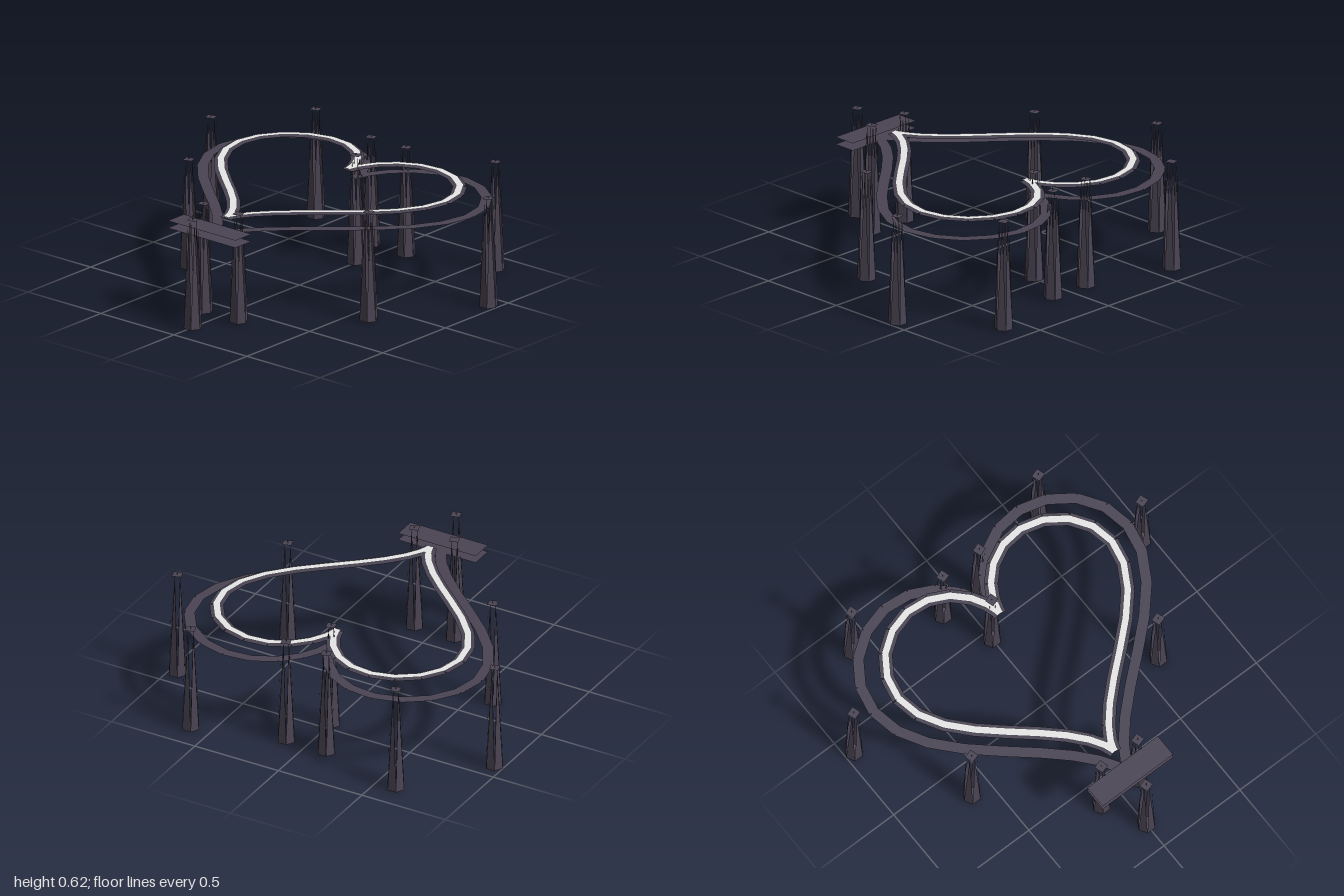
import * as THREE from 'three';

const material = (name, color) => {
  const m = new THREE.MeshStandardMaterial({ color, side: THREE.DoubleSide, flatShading: true });
  m.name = name;
  return m;
};

export function createModel() {
  const dark = material('dark stone', 0x4a4453);
  const light = material('pale grey', 0xe8e8e8);
  const model = new THREE.Group();

  // Adds a horizontal sheet
  function sheet(parent, name, geo, mat, x, y, z, turn = 0) {
    geo.rotateX(-Math.PI / 2);
    const m = new THREE.Mesh(geo, mat);
    m.name = name;
    m.position.set(x, y, z);
    m.rotation.y = turn;
    parent.add(m);
  }

  // Heart curve on the ground plane
  const heart = (t, s, c) => new THREE.Vector2(
    s * 16 * Math.sin(t) ** 3,
    c - s * (13 * Math.cos(t) - 5 * Math.cos(2 * t) - 2 * Math.cos(3 * t) - Math.cos(4 * t)));

  // Ring of straight flat segments following the heart, slightly overlapping
  function heartRing(name, s, c, width, y, mat) {
    const ring = new THREE.Group();
    ring.name = name;
    const n = 40;
    for (let i = 0; i < n; i++) {
      const a = heart(i / n * Math.PI * 2, s, c);
      const b = heart((i + 1) / n * Math.PI * 2, s, c);
      const d = b.clone().sub(a);
      sheet(ring, name + 'Segment', new THREE.PlaneGeometry(d.length() * 1.04, width), mat,
        (a.x + b.x) / 2, y, (a.y + b.y) / 2, -Math.atan2(d.y, d.x));
    }
    model.add(ring);
  }
  heartRing('outerHeart', 0.0523, -0.166, 0.058, 0.475, dark);
  heartRing('innerHeartBorder', 0.044, -0.162, 0.073, 0.53, dark);
  heartRing('innerHeartPath', 0.044, -0.162, 0.038, 0.538, light);

  // Entrance platform: upper and lower deck
  for (const y of [0.475, 0.515])
    sheet(model, 'platformDeck', new THREE.PlaneGeometry(0.465, 0.13), dark, 0, y, 0.715);

  // Six tapering blades standing on the sides of a hexagon
  const points = [];
  for (let i = 0; i < 6; i++) {
    const a = i * Math.PI / 3, b = a + Math.PI / 3, mid = a + Math.PI / 6;
    points.push(
      0.05 * Math.cos(b), 0, 0.05 * Math.sin(b),
      0.05 * Math.cos(a), 0, 0.05 * Math.sin(a),
      0.027 * Math.cos(mid), 0.595, 0.027 * Math.sin(mid));
  }
  const blades = new THREE.BufferGeometry();
  blades.setAttribute('position', new THREE.Float32BufferAttribute(points, 3));
  blades.computeVertexNormals();

  function tower(x, z) {
    const g = new THREE.Group();
    g.name = 'tower';
    g.position.set(x, 0, z);
    const shaft = new THREE.Mesh(blades, dark);
    shaft.name = 'towerBlades';
    g.add(shaft);
    sheet(g, 'towerBase', new THREE.CircleGeometry(0.05, 6), dark, 0, 0, 0);
    sheet(g, 'towerCap', new THREE.PlaneGeometry(0.05, 0.05), dark, 0, 0.595, 0, 0.3);
    const tip = new THREE.Mesh(new THREE.ConeGeometry(0.0015, 0.03, 4), dark);
    tip.name = 'towerTip';
    tip.position.y = 0.61;
    g.add(tip);
    model.add(g);
  }
  tower(0, 0.85);
  tower(0, -0.45);
  for (const [x, z] of [[0.95, -0.4], [0.615, -0.845], [0.615, 0.165], [0.12, -0.71], [0.12, 0.625]])
    for (const side of [-1, 1]) tower(side * x, z);

  return model;
}
